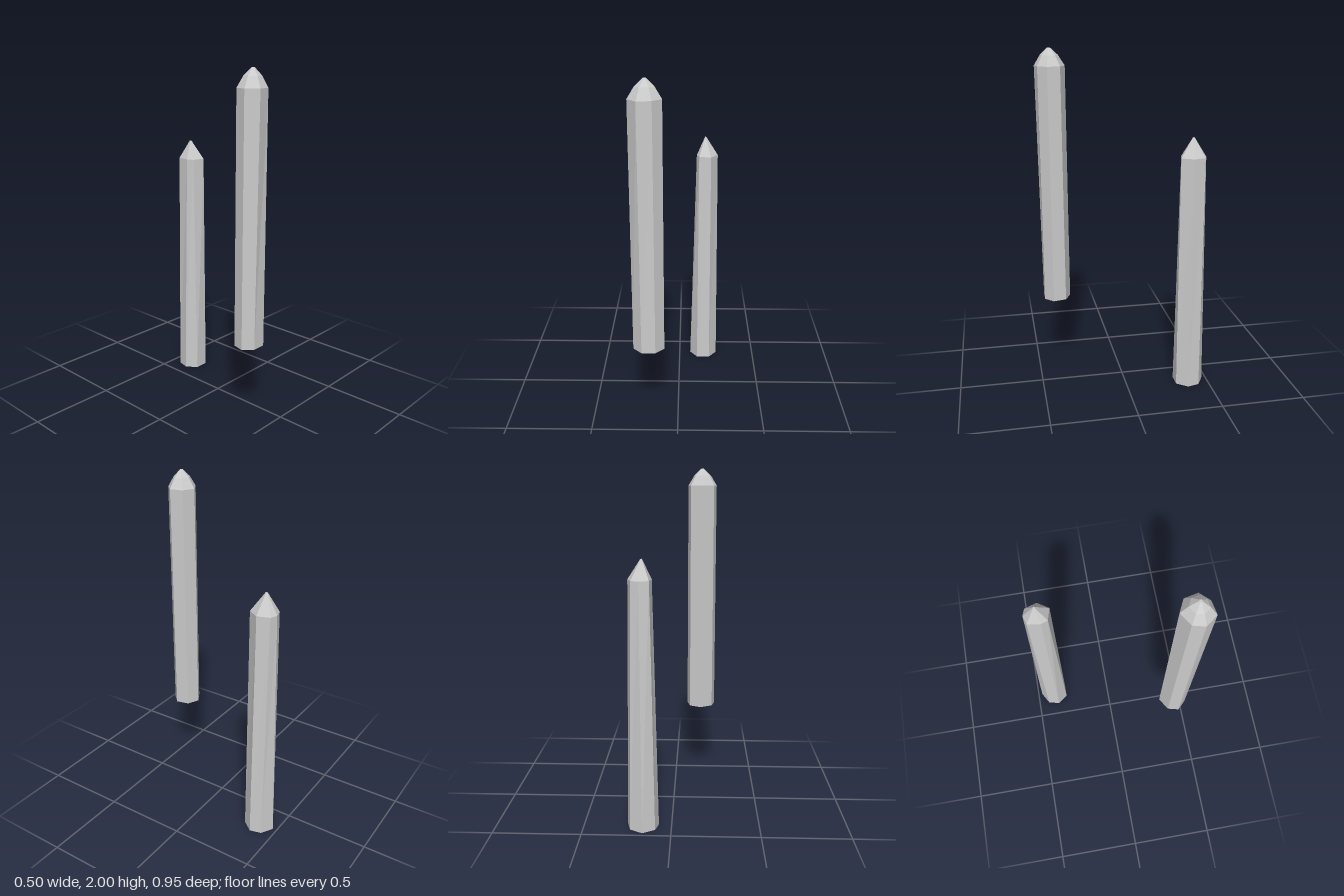
import * as THREE from 'three';

// Flat-shaded solid through a stack of rings; each ring is { y, pts: [[x, z], ...] }
function loft(rings) {
  const pos = [];
  const tri = (...v) => v.forEach((p) => pos.push(...p));
  const loops = rings.map(({ y, pts }) => pts.map(([x, z]) => [x, y, z]));
  const n = loops[0].length;
  const middle = (loop) => [0, 1, 2].map((k) => loop.reduce((s, p) => s + p[k], 0) / n);
  const bottom = loops[0], top = loops[loops.length - 1];
  for (let i = 0; i < n; i++) {
    const j = (i + 1) % n;
    for (let r = 0; r < loops.length - 1; r++) {
      const lo = loops[r], hi = loops[r + 1];
      tri(lo[j], lo[i], hi[i]);
      tri(lo[j], hi[i], hi[j]);
    }
    tri(middle(bottom), bottom[i], bottom[j]);
    tri(middle(top), top[j], top[i]);
  }
  const geo = new THREE.BufferGeometry();
  geo.setAttribute('position', new THREE.Float32BufferAttribute(pos, 3));
  geo.computeVertexNormals();
  return geo;
}

// Shrinks a ring toward a centre point
const shrink = (pts, [cx, cz], s) => pts.map(([x, z]) => [cx + (x - cx) * s, cz + (z - cz) * s]);

// Seven-sided stake: shaft from base to shoulder, then a pointed cap
function stake(name, { y0, y1, base, shoulder, tip, cap }) {
  const rings = [{ y: y0, pts: base }, { y: y1, pts: shoulder }];
  for (const [y, s] of cap) rings.push({ y, pts: shrink(shoulder, tip, s) });
  const mat = new THREE.MeshStandardMaterial({ color: 0xcccccc, flatShading: true });
  const mesh = new THREE.Mesh(loft(rings), mat);
  mesh.name = name;
  return mesh;
}

export function createModel() {
  const group = new THREE.Group();
  group.name = 'stakes';

  // Raised front stake with a slightly rounded cap
  group.add(stake('frontStake', {
    y0: 0.49, y1: 1.9, tip: [-0.163, 0.39],
    base: [[-0.163, 0.3], [-0.093, 0.334], [-0.076, 0.41], [-0.125, 0.46],
      [-0.203, 0.46], [-0.252, 0.41], [-0.235, 0.343]],
    shoulder: [[-0.163, 0.3], [-0.093, 0.334], [-0.076, 0.41], [-0.125, 0.46],
      [-0.203, 0.473], [-0.252, 0.41], [-0.235, 0.343]],
    cap: [[1.96, 0.58], [2.0, 0.1]],
  }));

  // Tapered back stake with a sharper cap
  group.add(stake('backStake', {
    y0: 0, y1: 1.41, tip: [0.158, -0.38],
    base: [[0.162, -0.475], [0.233, -0.434], [0.25, -0.365], [0.201, -0.301],
      [0.119, -0.301], [0.073, -0.365], [0.091, -0.434]],
    shoulder: [[0.17, -0.453], [0.212, -0.437], [0.235, -0.366], [0.192, -0.301],
      [0.12, -0.32], [0.105, -0.36], [0.115, -0.437]],
    cap: [[1.52, 0.07]],
  }));

  return group;
}
